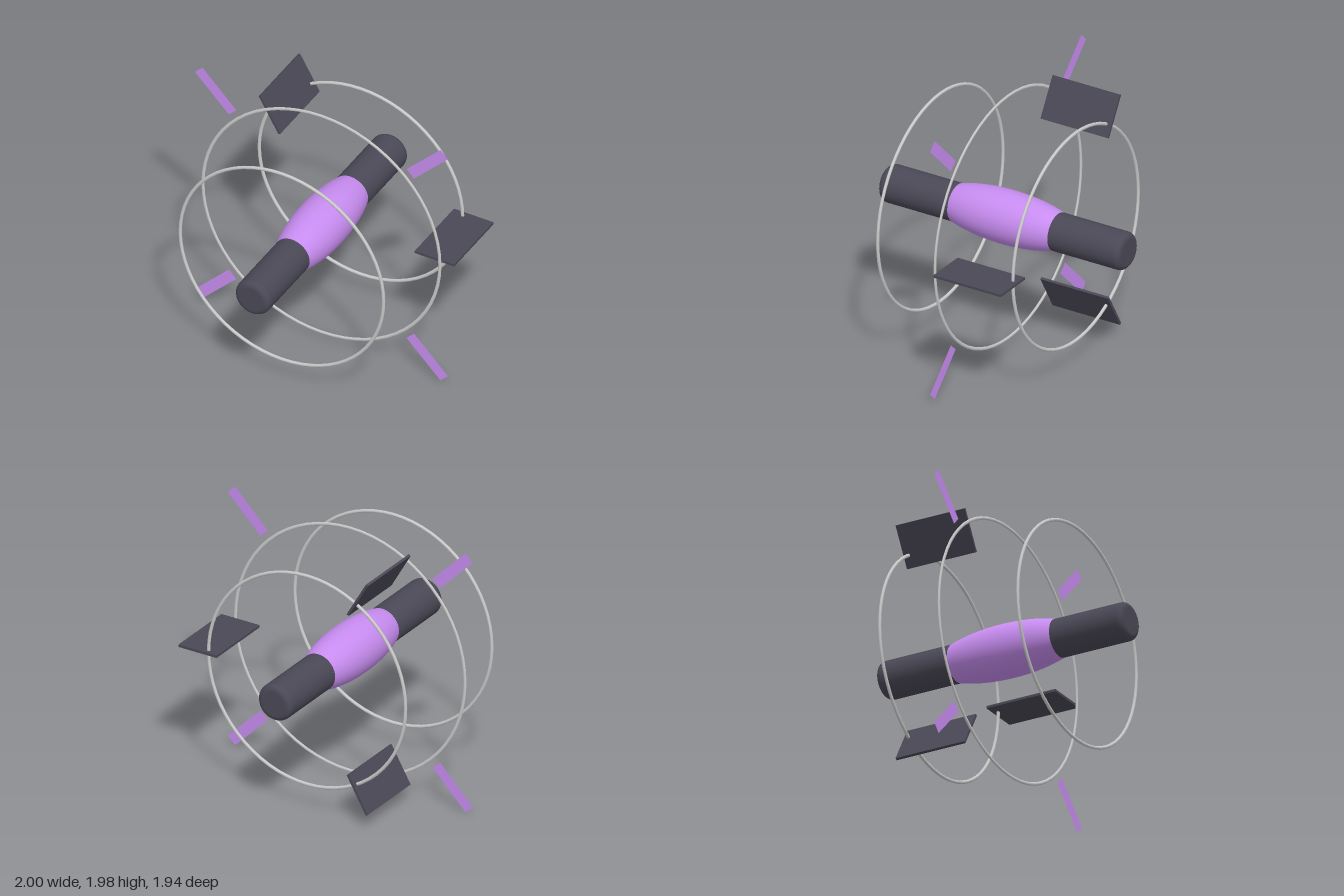
import * as THREE from 'three';

export function createModel() {
  const model = new THREE.Group();
  const core = new THREE.Group();
  core.position.set(-0.012, 0.99, 0);
  model.add(core);

  const dark = new THREE.MeshStandardMaterial({ color: 0x4a4856 });
  const purple = new THREE.MeshStandardMaterial({ color: 0xc78cf0 });
  const purpleFlat = new THREE.MeshStandardMaterial({ color: 0xc78cf0, side: THREE.DoubleSide });
  const grey = new THREE.MeshStandardMaterial({ color: 0xcccccc });

  const add = (name, geometry, material, parent = core) => {
    const mesh = new THREE.Mesh(geometry, material);
    mesh.name = name;
    parent.add(mesh);
    return mesh;
  };

  // Long central hull with rounded rims, lying along z
  const R = 0.136, L = 0.97, r = 0.045;
  const hull = [new THREE.Vector2(0, -L)];
  for (const end of [-1, 1]) {
    for (let i = 0; i <= 6; i++) {
      const a = (end < 0 ? i : 6 - i) * Math.PI / 12;
      hull.push(new THREE.Vector2(R - r + r * Math.sin(a), end * (L - r + r * Math.cos(a))));
    }
  }
  hull.push(new THREE.Vector2(0, L));
  add('hull', new THREE.LatheGeometry(hull, 48).rotateX(Math.PI / 2), dark);

  // Bulging middle section, a slice of an ellipsoid
  const bulge = [];
  for (let i = 0; i <= 20; i++) {
    const z = -0.415 + 0.83 * i / 20;
    bulge.push(new THREE.Vector2(0.188 * Math.sqrt(1 - (z / 0.585) ** 2), z));
  }
  add('bulge', new THREE.LatheGeometry(bulge, 48).rotateX(Math.PI / 2), purple);

  // Hoops: one large in the middle, a smaller one on either side
  const hoop = (name, radius, z, depth) => {
    const ring = add(name, new THREE.TorusGeometry(radius, 0.0125, 8, 64), grey);
    ring.position.z = z;
    ring.scale.z = depth;
  };
  hoop('middleHoop', 0.925, 0, 0.65);
  hoop('frontHoop', 0.794, 0.544, 0.9);
  hoop('rearHoop', 0.794, -0.544, 0.9);

  // Three fins around the rear hoop
  for (let i = 0; i < 3; i++) {
    const arm = new THREE.Group();
    arm.rotation.z = i * Math.PI * 2 / 3;
    core.add(arm);
    const fin = add('fin', new THREE.BoxGeometry(0.308, 0.018, 0.542), dark, arm);
    fin.position.set(0.858, 0, -0.313);
  }

  // Four flat diagonal strips outside the middle hoop
  for (let i = 0; i < 4; i++) {
    const arm = new THREE.Group();
    arm.rotation.z = Math.PI / 4 + i * Math.PI / 2;
    core.add(arm);
    const strip = add('strip', new THREE.PlaneGeometry(0.375, 0.083), purpleFlat, arm);
    strip.position.x = 1.168;
  }

  return model;
}
